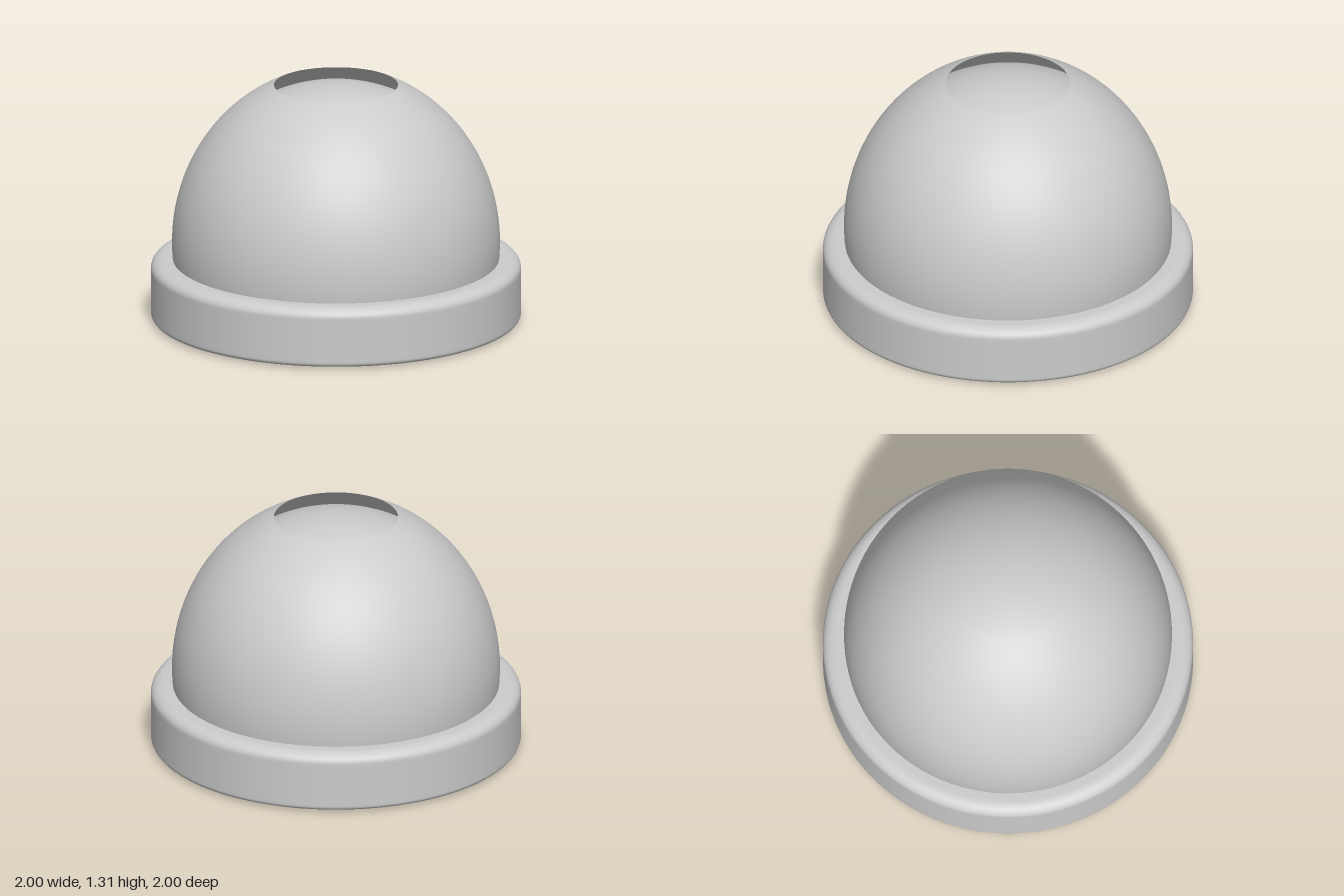
import * as THREE from 'three';

const SEGMENTS = 96;

function lathe(name, points, side = THREE.FrontSide) {
  const material = new THREE.MeshStandardMaterial({ color: 0xcccccc, side });
  const mesh = new THREE.Mesh(new THREE.LatheGeometry(points, SEGMENTS), material);
  mesh.name = name;
  return mesh;
}

// Points on an elliptical arc in the profile plane, angles in radians
function arc(cx, cy, rx, ry, from, to, steps) {
  return Array.from({ length: steps + 1 }, (_, i) => {
    const a = from + ((to - from) * i) / steps;
    return new THREE.Vector2(cx + rx * Math.cos(a), cy + ry * Math.sin(a));
  });
}

export function createModel() {
  const model = new THREE.Group();
  model.name = 'domedLamp';
  const P = (x, y) => new THREE.Vector2(x, y);

  // Base ring: slightly bulged underside, tight lower edge, soft upper edge
  model.add(lathe('base', [
    P(0, 0), P(0.5, 0.003), P(0.9, 0.009),
    ...arc(0.975, 0.036, 0.025, 0.025, -Math.PI / 2, 0, 6),
    P(1, 0.05), P(1, 0.27),
    ...arc(0.925, 0.283, 0.075, 0.055, 0, Math.PI / 2, 10),
    P(0.91, 0.338), P(0.8, 0.338), P(0, 0.338),
  ]));

  // Outer shell: tall half ellipsoid, cut open at the top
  const centre = 0.43, radius = 0.886, height = 0.953;
  const cut = Math.asin((1.312 - centre) / height);
  model.add(lathe('outerShell',
    arc(0, centre, radius, height, -0.12, cut, 40), THREE.DoubleSide));

  // Inner globe, seen through the opening
  const globe = new THREE.Mesh(
    new THREE.SphereGeometry(0.88, SEGMENTS, 32, 0, Math.PI * 2, 0, Math.PI / 2),
    new THREE.MeshStandardMaterial({ color: 0xcccccc }));
  globe.name = 'innerGlobe';
  globe.position.y = centre;
  model.add(globe);

  return model;
}
